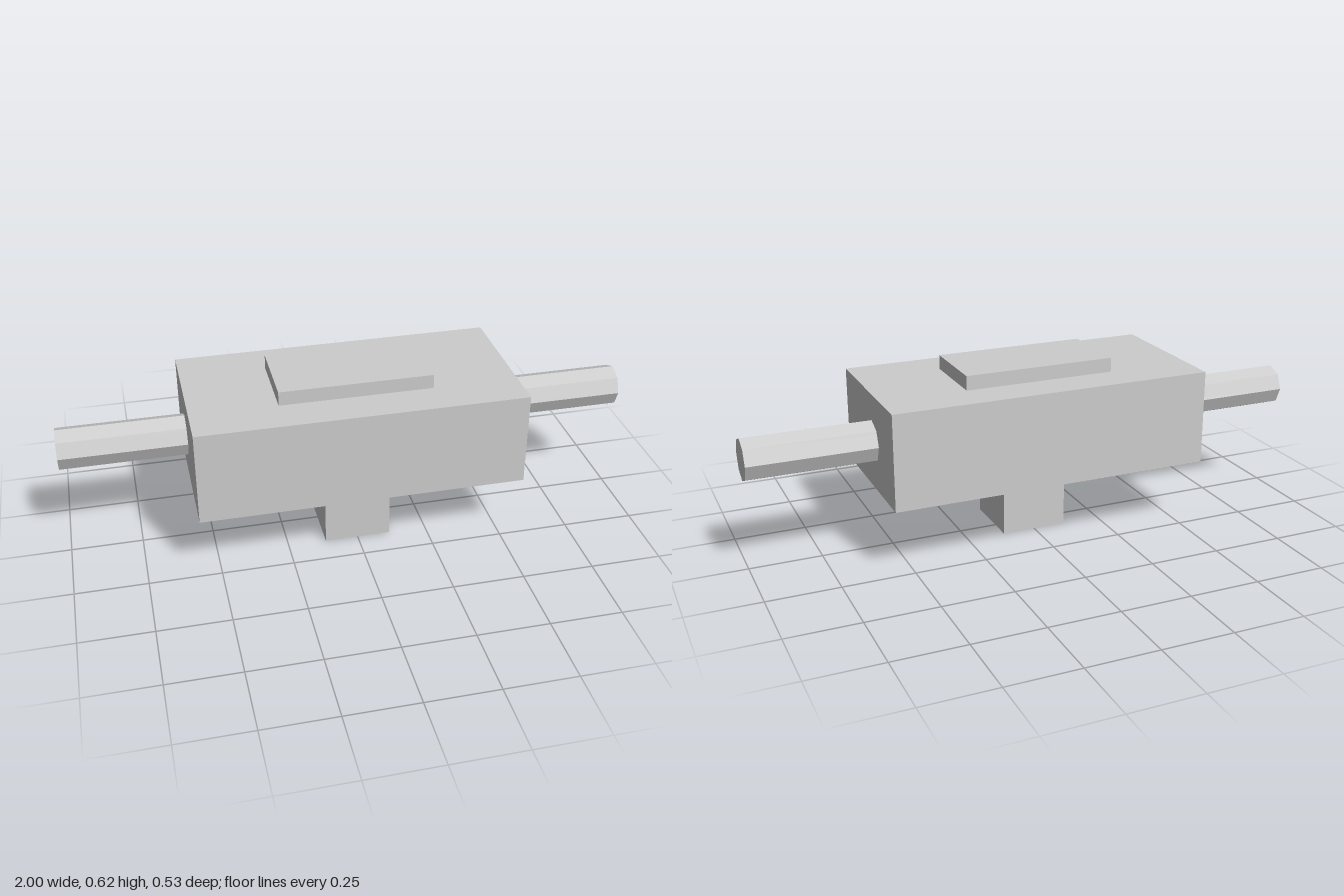
import * as THREE from 'three';

export function createModel() {
  const model = new THREE.Group();
  const grey = new THREE.MeshStandardMaterial({ color: 0xcccccc, flatShading: true });
  grey.name = 'light grey';

  const add = (name, geometry, x, y, z) => {
    const mesh = new THREE.Mesh(geometry, grey);
    mesh.name = name;
    mesh.position.set(x, y, z);
    model.add(mesh);
    return mesh;
  };

  // Main block with a raised plate on top and a stem below
  add('body', new THREE.BoxGeometry(1.13, 0.332, 0.534), 0, 0.401, 0);
  add('topPlate', new THREE.BoxGeometry(0.532, 0.05, 0.266), 0, 0.592, 0);
  add('stem', new THREE.BoxGeometry(0.232, 0.235, 0.233), 0, 0.1175, 0.033);

  // Octagonal shaft running through the block from side to side
  const shaft = add('shaft', new THREE.CylinderGeometry(0.073, 0.073, 2, 8), 0, 0.401, -0.033);
  shaft.rotation.z = Math.PI / 2;

  return model;
}
